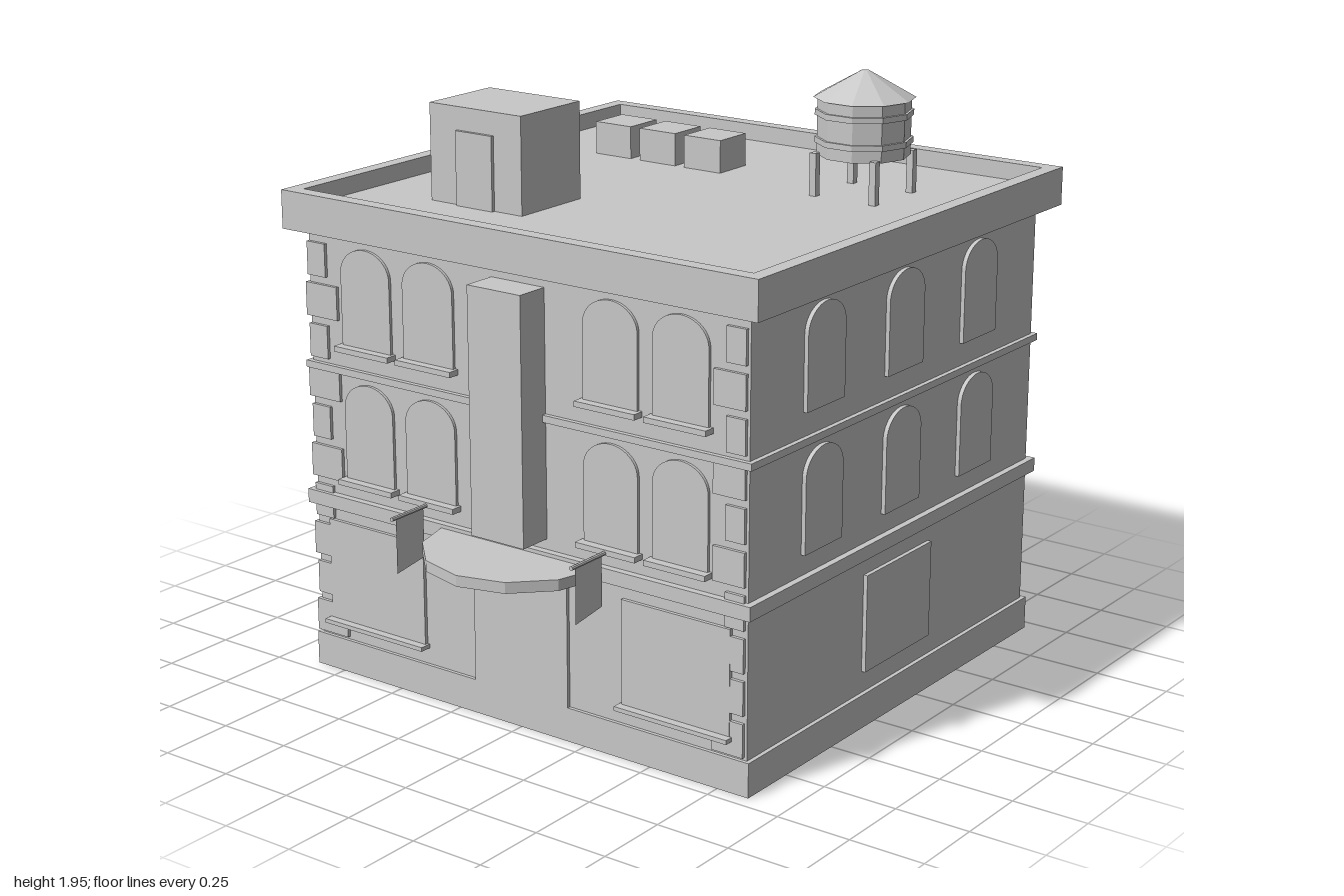
import * as THREE from 'three';

export function createModel() {
  const model = new THREE.Group();
  const stone = new THREE.MeshStandardMaterial({ color: 0xc8c8c8 });
  stone.name = 'plainGrey';
  stone.flatShading = true;
  const cloth = new THREE.MeshStandardMaterial({ color: 0xc8c8c8, side: THREE.DoubleSide });
  cloth.name = 'bannerGrey';

  const add = (name, geo, x = 0, y = 0, z = 0, mat = stone) => {
    const mesh = new THREE.Mesh(geo, mat);
    mesh.name = name;
    mesh.position.set(x, y, z);
    model.add(mesh);
    return mesh;
  };
  // Box given by its minimum and maximum on each axis
  const box = (name, x0, x1, y0, y1, z0, z1) =>
    add(name, new THREE.BoxGeometry(x1 - x0, y1 - y0, z1 - z0),
      (x0 + x1) / 2, (y0 + y1) / 2, (z0 + z1) / 2);
  // Rectangular frame of four walls, open above and below
  const frame = (name, x, y0, y1, z0, z1, t) => {
    box(name, -x, -x + t, y0, y1, z0, z1);
    box(name, x - t, x, y0, y1, z0, z1);
    box(name, -x + t, x - t, y0, y1, z0, z0 + t);
    box(name, -x + t, x - t, y0, y1, z1 - t, z1);
  };

  // Main walls over a hollow plinth, and belt courses
  const FRONT = 0.69, BACK = -0.94, SIDE = 0.849;
  box('walls', -SIDE, SIDE, 0.108, 1.5, BACK, FRONT);
  frame('plinth', 0.863, 0, 0.112, -0.955, 0.702, 0.016);
  box('lowerBelt', -0.871, 0.871, 0.566, 0.612, -0.962, 0.714);
  box('upperBelt', -0.865, 0.865, 1.024, 1.047, -0.955, 0.706);

  // Cornice with parapet around a sunken roof
  box('roof', -0.88, 0.88, 1.481, 1.55, -0.97, 0.72);
  frame('parapet', 0.909, 1.481, 1.607, -1, 0.745, 0.05);

  // Arched windows
  const archWindow = (height) => {
    const shape = new THREE.Shape();
    const w = 0.101, spring = height - 0.085;
    shape.moveTo(-w, 0);
    shape.lineTo(w, 0);
    shape.lineTo(w, spring);
    shape.absellipse(0, spring, w, 0.085, 0, Math.PI, false);
    shape.closePath();
    return new THREE.ExtrudeGeometry(shape, { depth: 0.025, bevelEnabled: false, curveSegments: 12 });
  };
  for (const [y, top] of [[0.679, 1.003], [1.124, 1.445]]) {
    const geo = archWindow(top - y);
    for (const x of [-0.609, -0.353, 0.353, 0.609]) {
      add('frontWindow', geo, x, y, FRONT - 0.015);
      box('windowSill', x - 0.112, x + 0.112, y - 0.018, y, FRONT - 0.01, 0.73);
    }
    for (const z of [0.316, -0.13, -0.575]) {
      for (const s of [-1, 1]) {
        add('sideWindow', geo, s * (SIDE - 0.011), y, z).rotation.y = s * Math.PI / 2;
      }
    }
    for (const x of [-0.43, 0.43]) {
      box('backWindow', x - 0.1, x + 0.1, y, y + 0.267, -0.955, BACK + 0.01);
    }
  }

  // Ground floor openings
  box('door', -0.185, 0.185, 0.112, 0.538, FRONT - 0.01, 0.702);
  for (const s of [-1, 1]) {
    const x = s * 0.593;
    box('shopWindow', x - 0.2, x + 0.2, 0.178, 0.521, FRONT - 0.01, 0.702);
    box('shopSill', x - 0.208, x + 0.208, 0.166, 0.18, FRONT - 0.01, 0.73);
    box('sideShopWindow', s * 0.853 - 0.01, s * 0.853 + 0.01, 0.184, 0.506, -0.315, 0.064);
  }

  // Corner quoins, alternating narrow and wide
  for (let i = 0; i < 10; i++) {
    const top = 1.441 - i * 0.1345, wide = i % 2 === 1;
    box('leftQuoin', wide ? 0.727 : 0.772, 0.84, top - 0.109, top, FRONT - 0.01, 0.701);
    box('rightQuoin', wide ? -0.86 : -0.85, wide ? -0.73 : -0.775, top - 0.109, top, FRONT - 0.01, 0.701);
  }

  // Tall upright sign box
  box('signBox', -0.102, 0.102, 0.646, 1.441, FRONT - 0.01, 0.804);

  // Half-round faceted entrance canopy
  const canopy = new THREE.Shape();
  for (let i = 0; i <= 6; i++) {
    const a = (i / 6) * Math.PI;
    canopy[i ? 'lineTo' : 'moveTo'](0.31 * Math.cos(a), -0.31 * Math.sin(a));
  }
  canopy.closePath();
  const canopyGeo = new THREE.ExtrudeGeometry(canopy, { depth: 0.036, bevelEnabled: false });
  add('canopy', canopyGeo, 0, 0.564, FRONT).rotation.x = -Math.PI / 2;

  // Banners hanging from rods
  const cloth2D = new THREE.Shape([[0.742, 0.501], [0.87, 0.483], [0.87, 0.668], [0.742, 0.668]]
    .map(([z, y]) => new THREE.Vector2(-z, y)));
  const bannerGeo = new THREE.ShapeGeometry(cloth2D).rotateY(Math.PI / 2);
  const rodGeo = new THREE.CylinderGeometry(0.007, 0.007, 0.2, 8).rotateX(Math.PI / 2);
  for (const s of [-1, 1]) {
    add('bannerRod', rodGeo, s * 0.352, 0.668, 0.79);
    add('banner', bannerGeo, s * 0.352, 0, 0, cloth);
  }

  // Roof stair house and vent units
  box('stairHouse', -0.594, -0.225, 1.54, 1.866, 0.095, 0.39);
  box('stairHouseDoor', -0.481, -0.335, 1.54, 1.791, 0.38, 0.402);
  for (let i = 0; i < 3; i++) {
    const x = -0.592 + i * 0.185;
    box('ventUnit', x, x + 0.147, 1.54, 1.66, -0.61, -0.463);
  }

  // Ten-sided water tower
  const tx = 0.461, tz = -0.497;
  const drum = (name, rTop, rBottom, y0, y1) => {
    const geo = new THREE.CylinderGeometry(rTop, rBottom, y1 - y0, 10).rotateY(Math.PI / 2);
    add(name, geo, tx, (y0 + y1) / 2, tz);
  };
  drum('waterTank', 0.15, 0.15, 1.681, 1.867);
  drum('tankHoop', 0.158, 0.158, 1.72, 1.739);
  drum('tankHoop', 0.158, 0.158, 1.809, 1.828);
  drum('tankRoof', 0.014, 0.164, 1.866, 1.951);
  for (const sx of [-1, 1]) {
    for (const sz of [-1, 1]) {
      const x = tx + sx * 0.112, z = tz + sz * 0.112;
      box('towerLeg', x - 0.012, x + 0.012, 1.54, 1.69, z - 0.012, z + 0.012);
    }
  }
  return model;
}
